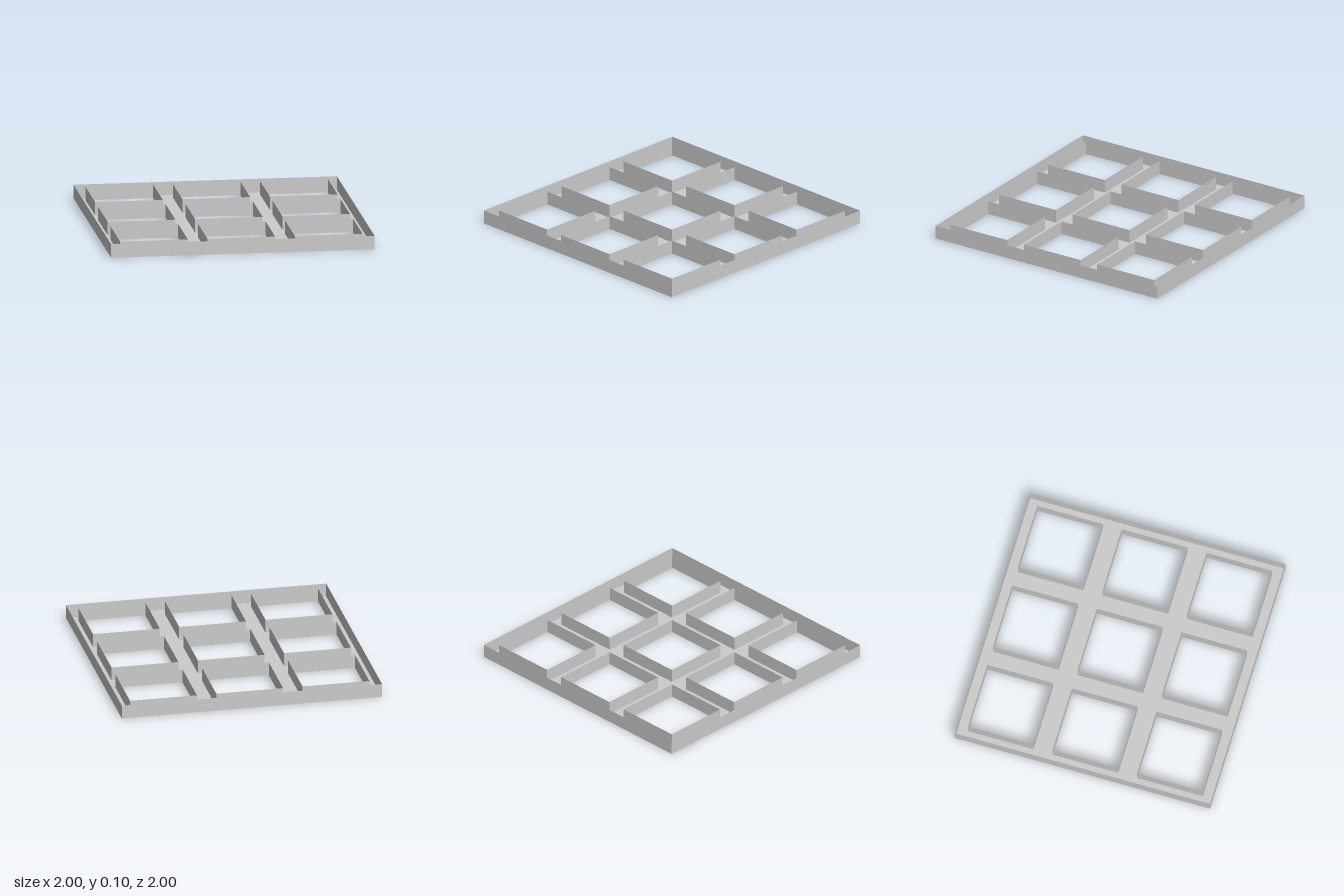
import * as THREE from 'three';

const HEIGHT = 0.104;
const CELL = 0.514; // width of each square opening
const PITCH = 0.663; // spacing between opening centres

export function createModel() {
  const group = new THREE.Group();
  const material = new THREE.MeshStandardMaterial({
    color: 0xcccccc, flatShading: true, side: THREE.DoubleSide,
  });

  const corners = (x, y, size) => [[-1, -1], [1, -1], [1, 1], [-1, 1]]
    .map(([sx, sy]) => new THREE.Vector2(x + sx * size / 2, y + sy * size / 2));

  // Thin upright wall around a square, open at top and bottom
  const addWall = (name, x, z, size) => {
    const radius = size / Math.SQRT2;
    const geometry = new THREE.CylinderGeometry(radius, radius, HEIGHT, 4, 1, true);
    geometry.rotateY(Math.PI / 4);
    const wall = new THREE.Mesh(geometry, material);
    wall.name = name;
    wall.position.set(x, HEIGHT / 2, z);
    group.add(wall);
  };

  // Floor sheet with nine openings, each ringed by a wall
  const floorShape = new THREE.Shape(corners(0, 0, 2));
  for (let row = -1; row <= 1; row++) {
    for (let column = -1; column <= 1; column++) {
      const x = column * PITCH, z = row * PITCH;
      floorShape.holes.push(new THREE.Path(corners(x, -z, CELL).reverse()));
      addWall(`openingWall_${row + 2}_${column + 2}`, x, z, CELL);
    }
  }
  const floor = new THREE.Mesh(new THREE.ShapeGeometry(floorShape).rotateX(-Math.PI / 2), material);
  floor.name = 'floor';
  group.add(floor);

  // Outer rim
  addWall('outerWall', 0, 0, 2);
  return group;
}
